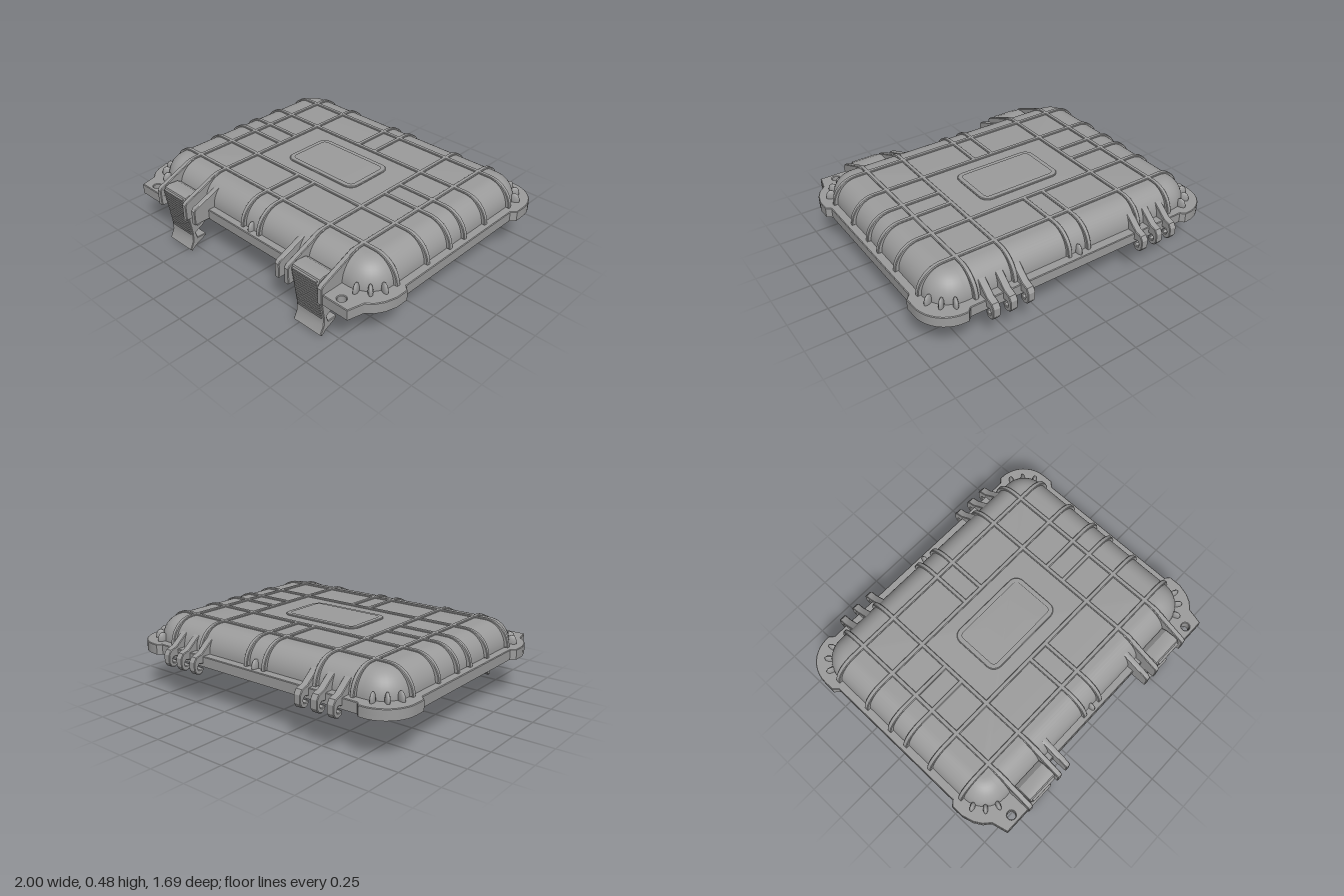
import * as THREE from 'three';
import { toCreasedNormals } from 'three/addons/utils/BufferGeometryUtils.js';

const grey = new THREE.MeshStandardMaterial({ color: 0x9c9c9c });
grey.name = 'grey plastic';

const HALF_X = 0.92, HALF_Z = 0.705, MID_Z = -0.015, CORNER = 0.17; // dome footprint
const ROLL = 0.14, BASE_Y = 0.325, RISE = 0.15;                      // rounded dome edge

export function createModel() {
  const model = new THREE.Group();
  model.name = 'caseLid';

  const add = (name, geometry, x = 0, y = 0, z = 0, crease = 0.5) => {
    const mesh = new THREE.Mesh(toCreasedNormals(geometry, crease), grey);
    mesh.name = name;
    mesh.position.set(x, y, z);
    model.add(mesh);
    return mesh;
  };
  const toShape = pts => new THREE.Shape(pts.map(p => new THREE.Vector2(p[0], p[1])));

  // Rounded rectangle as [x, z] points, inset from the dome footprint
  const loop = (inset, hx = HALF_X, hz = HALF_Z, r0 = CORNER, cz = MID_Z) => {
    const r = Math.max(r0 - inset, 0.03), pts = [];
    [[1, 1], [-1, 1], [-1, -1], [1, -1]].forEach(([sx, sz], k) => {
      for (let i = 0; i <= 8; i++) {
        const a = (k + i / 8) * Math.PI / 2;
        pts.push([sx * (hx - inset - r) + r * Math.cos(a), cz + sz * (hz - inset - r) + r * Math.sin(a)]);
      }
    });
    return pts;
  };

  // Plate with an [x, z] outline, standing between two heights
  const slab = (outline, holes, y0, y1, bevel = 0.004) => {
    const flip = pts => pts.map(([x, z]) => [x, -z]);
    const shape = toShape(flip(outline));
    holes.forEach(h => shape.holes.push(new THREE.Path(flip(h).map(p => new THREE.Vector2(p[0], p[1])))));
    return new THREE.ExtrudeGeometry(shape, {
      depth: y1 - y0 - 2 * bevel, bevelEnabled: bevel > 0, bevelSize: bevel,
      bevelOffset: -bevel, bevelThickness: bevel, bevelSegments: 1,
    }).translate(0, 0, y0 + bevel).rotateX(-Math.PI / 2);
  };

  // Upright profile [s, y] with a width; s runs along x or z
  const plate = (pts, width, alongZ, b = 0.004) => {
    const g = new THREE.ExtrudeGeometry(toShape(pts), {
      depth: width - 2 * b, bevelSize: b, bevelOffset: -b, bevelThickness: b, bevelSegments: 1,
    }).translate(0, 0, b - width / 2);
    return alongZ ? g.rotateY(-Math.PI / 2) : g;
  };

  // Hollow dome: outer skin from the top centre down, then inner skin back up
  const profile = [[null, 0.475]];
  for (let i = 0; i <= 12; i++) {
    const a = (1 - i / 12) * Math.PI / 2;
    profile.push([ROLL - ROLL * Math.cos(a), BASE_Y + RISE * Math.sin(a)]);
  }
  profile.push([0, 0.29], [0.035, 0.265]);
  for (let i = 0; i <= 12; i++) {
    const a = i / 12 * Math.PI / 2;
    profile.push([ROLL - 0.105 * Math.cos(a), BASE_Y + 0.125 * Math.sin(a)]);
  }
  profile.push([null, 0.45]);
  const pos = [], index = [], n = 36;
  profile.forEach(([inset, y], k) => {
    loop(inset ?? 0).forEach(([x, z]) => inset === null ? pos.push(0, y, MID_Z) : pos.push(x, y, z));
    if (k === 0) return;
    for (let j = 0; j < n; j++) {
      const a = (k - 1) * n + j, a1 = (k - 1) * n + (j + 1) % n;
      index.push(a, a1, a + n, a1, a1 + n, a + n);
    }
  });
  const dome = new THREE.BufferGeometry();
  dome.setAttribute('position', new THREE.Float32BufferAttribute(pos, 3));
  dome.setIndex(index);
  add('dome', dome);

  // Flange with thick corners and front tabs
  const half = [[0.655, 0.735], [0.68, 0.835], [0.885, 0.835], [0.91, 0.735], [0.95, 0.7], [0.98, 0.65],
    [1, 0.58], [1, 0.5], [0.97, 0.475], [0.97, -0.5], [1, -0.53]];
  for (let i = 0; i <= 10; i++) {
    const a = i / 10 * Math.PI / 2;
    half.push([0.8 + 0.2 * Math.cos(a), -0.6 - 0.2 * Math.sin(a)]);
  }
  half.push([0.78, -0.8], [0.755, -0.775]);
  const outline = [...half, ...half.map(([x, z]) => [-x, z]).reverse()];
  const padlockHoles = [-0.8, 0.8].map(x => Array.from({ length: 16 }, (_, i) => {
    const a = i / 8 * Math.PI;
    return [x + 0.026 * Math.cos(a), 0.785 + 0.026 * Math.sin(a)];
  }));
  add('flange', slab(outline, [loop(0.035), ...padlockHoles], 0.28, 0.325));
  // Lower rim and inner lip leave a seal groove between them
  add('lowerRim', slab(outline, [loop(0, 0.945, 0.722, 0.19), ...padlockHoles], 0.26, 0.285, 0));
  add('sealLip', slab(loop(0, 0.925, 0.702), [loop(0.03)], 0.262, 0.285, 0));

  // Ribs hugging the dome; ends beyond 0.6 wrap over its edge
  const ribEnd = (v, o) => Math.abs(v) < 0.6 ? [[v, 0.475 + o]] : Array.from({ length: 13 }, (_, i) => {
    const a = i / 12 * Math.PI / 2, s = Math.sign(v);
    return [v - s * ROLL + s * (ROLL + 2.5 * o) * Math.cos(a), BASE_Y + (RISE + o) * Math.sin(a)];
  });
  const ribPath = (lo, hi, o) => [...ribEnd(lo, o), ...ribEnd(hi, o).reverse()];
  const rib = (lo, hi, alongZ) =>
    plate([...ribPath(lo, hi, 0.009), ...ribPath(lo, hi, -0.01).reverse()], 0.028, alongZ);
  for (const z of [-0.535, -0.285, 0.25, 0.505]) add('crossRib', rib(-HALF_X, HALF_X, false), 0, 0, z);
  for (const z of [-0.085, 0.05]) {
    add('shortCrossRib', rib(-HALF_X, -0.445, false), 0, 0, z);
    add('shortCrossRib', rib(0.445, HALF_X, false), 0, 0, z);
  }
  for (const s of [-1, 1]) {
    for (const x of [0.695, 0.445]) add('lengthRib', rib(-0.72, 0.69, true), s * x);
    add('shortLengthRib', rib(-0.72, -0.285, true), s * 0.068);
    add('shortLengthRib', rib(0.25, 0.69, true), s * 0.068);
  }

  // Raised frame in the middle of the top
  add('topFrame', slab(loop(0, 0.28, 0.173, 0.06, -0.017), [loop(0.028, 0.28, 0.173, 0.06, -0.017)], 0.468, 0.484));

  // Small gussets round the corners and at the middle of front and back
  const gusset = (x, z, angle) => {
    const m = add('gusset', new THREE.SphereGeometry(1, 12, 8), x, 0.335, z, 3);
    m.scale.set(0.032, 0.045, 0.015);
    m.rotation.y = -angle;
  };
  for (const sx of [-1, 1]) for (const sz of [-1, 1]) for (const deg of [22, 46, 70]) {
    const a = deg * Math.PI / 180, dx = sx * Math.cos(a), dz = sz * Math.sin(a);
    gusset(sx * 0.75 + 0.182 * dx, (sz > 0 ? 0.52 : -0.55) + 0.182 * dz, Math.atan2(dz, dx));
  }
  gusset(0, 0.692, Math.PI / 2);
  gusset(0, -0.727, Math.PI / 2);

  // Profiles of front brackets, hinge hooks and latches as [z, y]
  const bracket = [[0.56, 0.479], [0.59, 0.479], [0.83, 0.378], [0.843, 0.36], [0.843, 0.26], [0.7, 0.26],
    [0.675, 0.36], [0.64, 0.42], [0.57, 0.46]];
  const fin = [[0.61, 0.452], [0.825, 0.368], [0.838, 0.35], [0.838, 0.26], [0.7, 0.26], [0.675, 0.34], [0.63, 0.43]];
  const hook = [[-0.65, 0.445], [-0.71, 0.4], [-0.78, 0.342], [-0.825, 0.328], [-0.843, 0.3], [-0.843, 0.25],
    [-0.828, 0.226], [-0.803, 0.218], [-0.778, 0.229], [-0.77, 0.252], [-0.785, 0.256], [-0.797, 0.246],
    [-0.813, 0.25], [-0.817, 0.268], [-0.805, 0.284], [-0.77, 0.28], [-0.72, 0.27], [-0.71, 0.34], [-0.67, 0.42]];
  const latch = [[0.808, 0.26], [0.8, 0.2], [0.789, 0.12], [0.79, 0.065], [0.816, 0.012], [0.803, 0], [0.77, 0.028],
    [0.692, 0.066], [0.692, 0.08], [0.755, 0.08], [0.766, 0.122], [0.715, 0.145], [0.69, 0.165], [0.69, 0.187],
    [0.71, 0.198], [0.728, 0.188], [0.73, 0.172], [0.748, 0.167], [0.762, 0.19], [0.768, 0.27], [0.735, 0.33],
    [0.69, 0.335], [0.69, 0.37], [0.72, 0.39], [0.78, 0.394], [0.81, 0.385], [0.822, 0.36]];
  for (const s of [-1, 1]) {
    for (const x of [0.695, 0.445]) add('latchBracket', plate(bracket, 0.034, true), s * x);
    add('frontFin', plate(fin, 0.034, true), s * 0.367);
    for (const x of [0.41, 0.525, 0.635]) add('hingeHook', plate(hook, 0.048, true), s * x);
    add('latch', plate(latch, 0.21, true), s * 0.568);
    // Grip ridges on the latch face
    for (let i = 0; i < 15; i++) {
      const y = 0.115 + i * 0.0185;
      const z = y < 0.26 ? 0.789 + (y - 0.12) * 0.136 : 0.808 + (y - 0.26) * 0.14;
      add('gripRidge', new THREE.BoxGeometry(0.18, 0.009, 0.014), s * 0.568, y, z);
    }
  }

  // Valve boss inside one corner
  add('valveBoss', new THREE.CylinderGeometry(0.035, 0.03, 0.05, 20), -0.74, 0.43, 0.5);
  for (const dx of [-0.016, 0.016])
    add('valvePin', new THREE.CylinderGeometry(0.01, 0.01, 0.04, 10), -0.74 + dx, 0.39, 0.5);

  return model;
}
